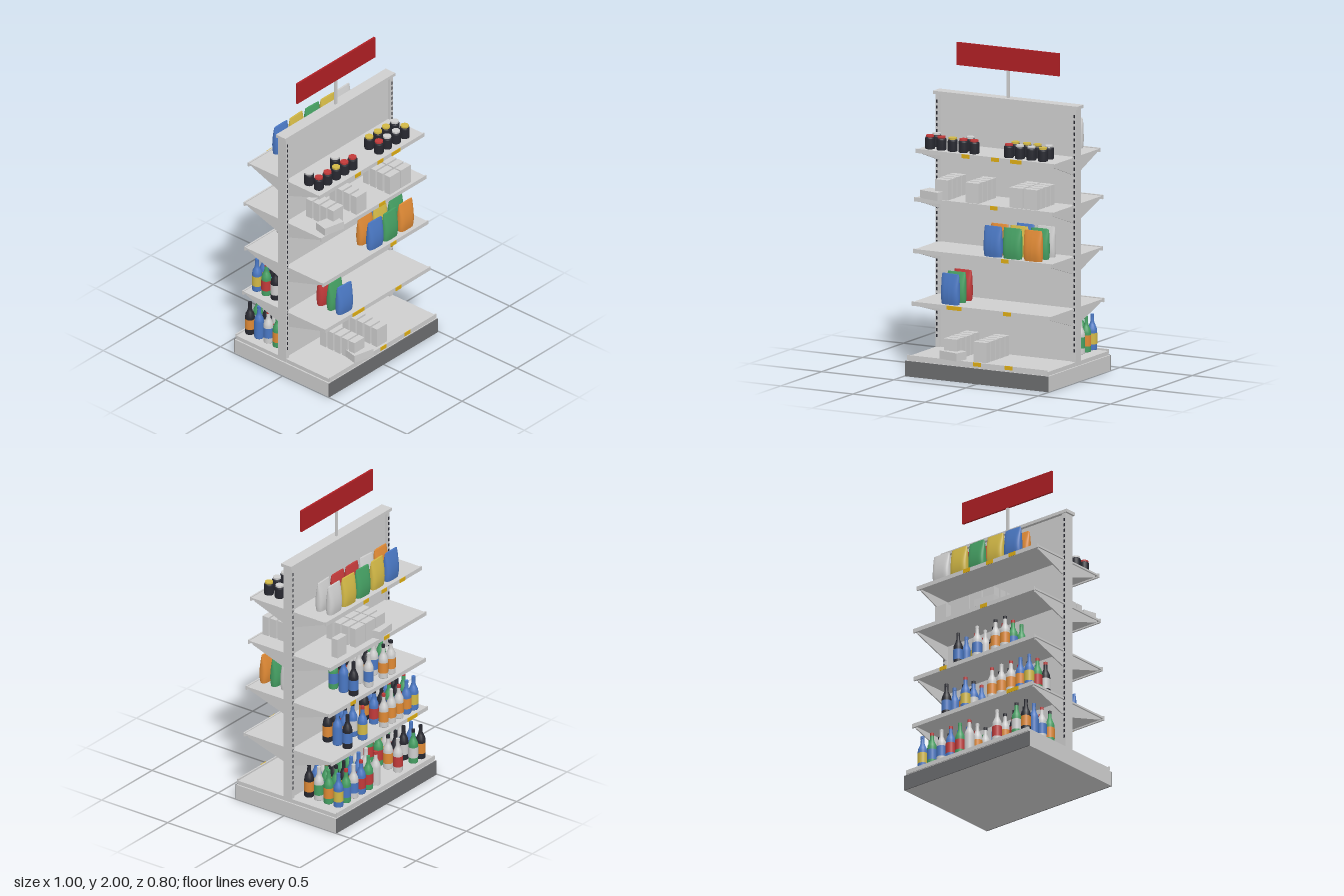
import * as THREE from 'three';

const mat = (name, color, side = THREE.FrontSide) => {
  const m = new THREE.MeshStandardMaterial({ color, side });
  m.name = name;
  return m;
};

export function createModel() {
  const M = {
    metal: mat('light grey', 0xcfcfcf),
    kick: mat('dark grey', 0x6c6d6f),
    sign: mat('sign red', 0xb01f24),
    dark: mat('near black', 0x272830),
    blue: mat('blue', 0x4a78c4),
    green: mat('green', 0x45a063),
    orange: mat('orange', 0xe08a35),
    yellow: mat('yellow', 0xd2b846),
    tag: mat('tag yellow', 0xdfae14),
    red: mat('red', 0xc23a3a),
  };
  const root = new THREE.Group();
  root.name = 'shelfStand';

  const add = (name, geo, m, x = 0, y = 0, z = 0, ry = 0, parent = root) => {
    const mesh = new THREE.Mesh(geo, m);
    mesh.name = name;
    mesh.position.set(x, y, z);
    mesh.rotation.y = ry;
    parent.add(mesh);
    return mesh;
  };
  const box = (name, w, h, d, m, x, y, z, ry) =>
    add(name, new THREE.BoxGeometry(w, h, d), m, x, y, z, ry);

  let seed = 7;
  const rnd = () => (seed = (seed * 16807) % 2147483647) / 2147483647;
  const pick = (list) => list[Math.floor(rnd() * list.length)];

  // Plinth, deck and central wall
  const CZ = -0.016;
  box('plinth', 0.99, 0.095, 0.757, M.metal, 0, 0.0475, -0.0125);
  box('frontKickPlate', 0.99, 0.095, 0.006, M.kick, 0, 0.0475, 0.369);
  box('backKickPlate', 0.99, 0.095, 0.006, M.kick, 0, 0.0475, -0.394);
  box('deck', 0.97, 0.025, 0.745, M.metal, 0, 0.1075, -0.0125);
  box('frontDeckRail', 0.97, 0.026, 0.008, M.metal, 0, 0.118, 0.362);
  box('backDeckRail', 0.97, 0.026, 0.008, M.metal, 0, 0.118, -0.387);
  box('backPanel', 0.93, 1.57, 0.036, M.metal, 0, 0.89, CZ);
  box('header', 1.0, 0.02, 0.077, M.metal, 0, 1.683, CZ);
  box('signPole', 0.018, 0.19, 0.012, M.metal, 0, 1.78, CZ);
  box('signBoard', 0.71, 0.14, 0.013, M.sign, 0, 1.93, CZ);

  // Slotted uprights
  const slotGeo = new THREE.BoxGeometry(0.008, 0.02, 0.004);
  for (const s of [-1, 1]) {
    box('upright', 0.028, 1.58, 0.064, M.metal, s * 0.472, 0.885, CZ);
    for (let y = 0.19; y < 1.64; y += 0.036)
      for (const f of [-1, 1]) add('slot', slotGeo, M.dark, s * 0.476, y, CZ + f * 0.032);
  }

  // Shelves: top height, front edge, back edge
  const levels = [
    [0.45, 0.325, -0.345],
    [0.77, 0.307, -0.328],
    [1.085, 0.291, -0.334],
    [1.38, 0.276, -0.3],
  ];
  const tagGeo = new THREE.BoxGeometry(0.052, 0.024, 0.004);
  const shelf = (y, edge) => {
    const dir = Math.sign(edge), wall = CZ + dir * 0.018;
    box('shelf', 0.95, 0.012, Math.abs(edge - wall), M.metal, 0, y - 0.008, (edge + wall) / 2);
    box('shelfRail', 0.956, 0.026, 0.01, M.metal, 0, y - 0.01, edge - dir * 0.005);
    // Tapered support bracket under each end
    const len = Math.abs(edge - wall) - 0.025;
    const shape = new THREE.Shape([[0, 0], [len, 0], [len, -0.012], [0.02, -0.095], [0, -0.095]]
      .map(([a, b]) => new THREE.Vector2(a, b)));
    const geo = new THREE.ExtrudeGeometry(shape, { depth: 0.008, bevelEnabled: false });
    geo.translate(0, 0, -0.004);
    for (const s of [-1, 1])
      add('bracket', geo, M.metal, s * 0.462, y - 0.013, wall, -dir * Math.PI / 2);
  };
  for (const [y, f, b] of levels) { shelf(y, f); shelf(y, b); }

  // Price tags on the rails
  const tags = (y, edge, xs) => xs.forEach((x) =>
    add('priceTag', tagGeo, M.tag, x, y - 0.01, edge + Math.sign(edge) * 0.002));
  tags(0.13, 0.366, [0.0, 0.22]);
  tags(0.45, 0.325, [-0.205, -0.155, 0.185]);
  tags(0.77, 0.307, [0.16]);
  tags(1.085, 0.291, [0.075]);
  tags(1.38, 0.276, [-0.13, 0.075, 0.205, 0.23]);
  tags(0.45, -0.345, [-0.34, -0.3]);
  tags(0.77, -0.328, [0.245]);
  tags(1.085, -0.334, [-0.08]);
  tags(1.38, -0.3, [-0.28, -0.1, 0.08]);

  // Cartons: standing rows and single ones lying flat
  const cartonGeo = new THREE.BoxGeometry(0.09, 0.124, 0.045);
  const cartons = (y, xs, zs) => xs.forEach((x) => zs.forEach((z) =>
    add('carton', cartonGeo, M.metal, x, y + 0.062, z)));
  const flatCarton = (x, y, z, ry) => box('flatCarton', 0.142, 0.05, 0.09, M.metal, x, y + 0.025, z, ry);
  cartons(0.13, [-0.195, 0.01], [0.095, 0.152, 0.21, 0.268, 0.325]);
  flatCarton(-0.182, 0.131, 0.338, -0.23);
  cartons(1.085, [-0.3, -0.09, 0.215, 0.315], [0.075, 0.132, 0.19, 0.248]);
  flatCarton(-0.362, 1.086, 0.258, -0.22);
  cartons(1.085, [0.12, 0.02, -0.08], [-0.09, -0.148, -0.207, -0.265]);
  cartons(1.085, [0.3], [-0.265]);
  flatCarton(-0.075, 1.086, -0.285, 0.1);

  // Pillow bags: a cylinder reshaped into squarish rings that pinch at the top seam
  const bagH = 0.187;
  const bagGeo = new THREE.CylinderGeometry(1, 1, bagH, 28, 10);
  bagGeo.translate(0, bagH / 2, 0);
  const bp = bagGeo.attributes.position;
  const sq = (v, e) => Math.sign(v) * Math.pow(Math.abs(v), e);
  for (let i = 0; i < bp.count; i++) {
    const t = bp.getY(i) / bagH;
    const w = 0.0625 - 0.004 * Math.pow(Math.abs(2 * t - 1), 6);
    const d = t < 0.3 ? 0.023 + 0.007 * Math.sin((t / 0.3) * Math.PI / 2)
      : 0.006 + 0.024 * Math.cos(((t - 0.3) / 0.7) * Math.PI / 2);
    bp.setX(i, w * sq(bp.getX(i), 0.55));
    bp.setZ(i, d * sq(bp.getZ(i), 0.8));
  }
  bagGeo.computeVertexNormals();
  const bags = (y, z, list) => list.forEach(([x, c]) =>
    add('bag', bagGeo, M[c], x, y, z, (rnd() - 0.5) * 0.12));
  bags(0.45, 0.265, [[-0.24, 'blue']]);
  bags(0.45, 0.19, [[-0.24, 'green']]);
  bags(0.45, 0.112, [[-0.24, 'red']]);
  bags(0.77, 0.255, [[0.05, 'blue'], [0.185, 'green'], [0.328, 'orange']]);
  bags(0.77, 0.175, [[0.05, 'orange'], [0.185, 'yellow'], [0.328, 'green']]);
  bags(0.77, 0.098, [[0.185, 'blue'], [0.328, 'metal']]);
  bags(1.38, -0.245, [[-0.24, 'blue'], [-0.1, 'yellow'], [0.045, 'green'], [0.185, 'yellow'], [0.325, 'metal']]);
  bags(1.38, -0.165, [[-0.24, 'orange'], [-0.1, 'metal'], [0.045, 'red'], [0.185, 'red'], [0.325, 'metal']]);

  // Jars with coloured lids
  const lathe = (pts, n = 18) => new THREE.LatheGeometry(pts.map(([r, y]) => new THREE.Vector2(r, y)), n);
  const jarGeo = lathe([[0, 0], [0.028, 0], [0.03, 0.004], [0.03, 0.062], [0.029, 0.068], [0.025, 0.073], [0, 0.073]]);
  const lidGeo = new THREE.CylinderGeometry(0.025, 0.025, 0.012, 18);
  const jars = (z, list) => list.forEach(([x, c]) => {
    add('jar', jarGeo, M.dark, x, 1.38, z);
    add('jarLid', lidGeo, M[c], x, 1.458, z);
  });
  jars(0.135, [[-0.412, 'metal'], [-0.177, 'metal'], [0.135, 'yellow'], [0.215, 'yellow'], [0.288, 'yellow'], [0.367, 'metal']]);
  jars(0.213, [[-0.412, 'red'], [-0.333, 'red'], [-0.255, 'yellow'], [-0.18, 'red'], [-0.105, 'red'],
    [0.135, 'red'], [0.21, 'metal'], [0.29, 'metal'], [0.37, 'yellow']]);

  // Bottles with label bands and caps
  const bottleGeo = lathe([[0, 0], [0.028, 0], [0.03, 0.004], [0.03, 0.115], [0.027, 0.135], [0.018, 0.155],
    [0.012, 0.172], [0.011, 0.205]], 16);
  const labelGeo = new THREE.CylinderGeometry(0.0306, 0.0306, 0.068, 16, 1, true);
  const capGeo = new THREE.CylinderGeometry(0.012, 0.012, 0.018, 12);
  const bodies = ['blue', 'green', 'metal', 'dark'];
  const labels = ['orange', 'blue', 'yellow', 'metal', 'red'];
  const bottle = (x, y, z, body, label) => {
    add('bottle', bottleGeo, M[body], x, y, z);
    add('bottleLabel', labelGeo, M[label], x, y + 0.07, z);
    add('bottleCap', capGeo, M[pick([body, body, 'red', 'dark'])], x, y + 0.209, z);
  };
  // Each row lists fixed bottles as x: [body, label]; '-' leaves a gap, others vary
  const bottleRow = (y, z, xs, fixed = {}) => xs.forEach((x) => {
    if (fixed[x] === '-') return;
    const [b, l] = fixed[x] || [pick(bodies), pick(labels)];
    bottle(x, y, z, b, l);
  });
  const baseX = [0.4, 0.325, 0.25, 0.177, 0.104, 0.03, -0.19, -0.265, -0.343, -0.417];
  bottleRow(0.13, -0.114, baseX, { 0.4: ['dark', 'orange'] });
  bottleRow(0.13, -0.188, baseX, { 0.4: ['metal', 'green'] });
  bottleRow(0.13, -0.262, baseX, { 0.4: ['green', 'orange'] });
  bottleRow(0.13, -0.336, baseX, { 0.4: ['blue', 'yellow'], 0.325: ['green', 'blue'], 0.25: ['metal', 'blue'],
    0.177: ['blue', 'red'], 0.104: ['green', 'red'], 0.03: ['metal', 'metal'], '-0.19': ['metal', 'red'],
    '-0.265': '-', '-0.343': ['green', 'metal'], '-0.417': ['dark', 'orange'] });
  const lowX = [0.25, 0.175, 0.1, -0.11, -0.185, -0.26, -0.335, -0.405];
  bottleRow(0.45, -0.14, lowX, { 0.25: ['dark', 'orange'] });
  bottleRow(0.45, -0.215, lowX, { 0.25: ['blue', 'blue'] });
  bottleRow(0.45, -0.29, lowX, { 0.25: ['dark', 'blue'], 0.175: '-', 0.1: ['blue', 'yellow'], '-0.11': ['metal', 'orange'],
    '-0.185': ['metal', 'orange'], '-0.26': ['metal', 'orange'], '-0.335': ['blue', 'orange'], '-0.405': ['blue', 'yellow'] });
  const midX = [0.17, 0.095, 0.02, -0.05, -0.125, -0.2];
  bottleRow(0.77, -0.122, midX, { 0.17: ['green', 'blue'] });
  bottleRow(0.77, -0.2, midX, { 0.17: ['blue', 'blue'] });
  bottleRow(0.77, -0.275, midX, { 0.17: ['dark', 'blue'], 0.095: '-', 0.02: ['metal', 'blue'], '-0.05': '-',
    '-0.125': ['metal', 'orange'], '-0.2': ['metal', 'orange'] });

  return root;
}
